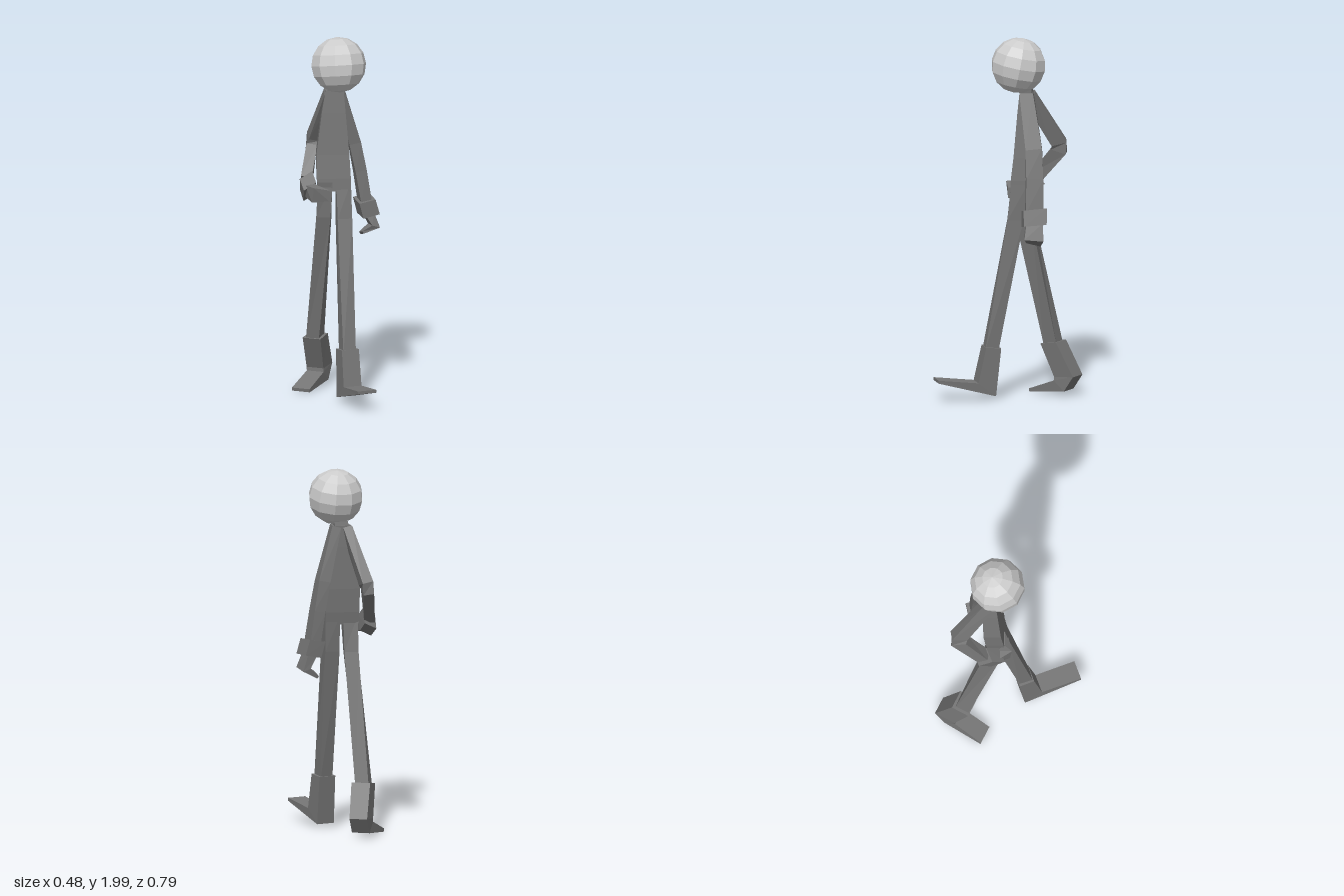
import * as THREE from 'three';

const headMaterial = new THREE.MeshStandardMaterial({ color: 0xcccccc, flatShading: true });
const bodyMaterial = new THREE.MeshStandardMaterial({ color: 0x757575, flatShading: true });

// Four corners of a cross-section; at zero angles it lies flat, facing down
function ring([x, y, z, w, d, yaw = 0, pitch = 0, roll = 0]) {
  const e = new THREE.Euler(-pitch, yaw, roll, 'YXZ');
  return [[1, 1], [-1, 1], [-1, -1], [1, -1]].map(([a, b]) =>
    new THREE.Vector3((a * w) / 2, 0, (b * d) / 2).applyEuler(e).add(new THREE.Vector3(x, y, z)));
}

// Closed skin over a row of rectangular sections [x, y, z, width, depth, yaw, pitch, roll]
function limb(name, sections) {
  const rings = sections.map(ring);
  const points = [];
  const quad = (a, b, c, d) => points.push(a, b, c, a, c, d);
  for (let s = 0; s < rings.length - 1; s++) {
    for (let i = 0; i < 4; i++) {
      const j = (i + 1) % 4;
      quad(rings[s][i], rings[s][j], rings[s + 1][j], rings[s + 1][i]);
    }
  }
  quad(...[...rings[0]].reverse());
  quad(...rings[rings.length - 1]);
  const geometry = new THREE.BufferGeometry().setFromPoints(points);
  geometry.computeVertexNormals();
  const mesh = new THREE.Mesh(geometry, bodyMaterial);
  mesh.name = name;
  return mesh;
}

export function createModel() {
  const model = new THREE.Group();
  model.name = 'walkingFigure';

  // Faceted ball head, tipped slightly back
  const head = new THREE.Mesh(new THREE.SphereGeometry(0.152, 10, 8), headMaterial);
  head.name = 'head';
  head.position.set(0.012, 1.85, -0.056);
  head.rotation.set(-0.2, 0.15, 0.05);
  model.add(head);

  model.add(
    limb('neck', [
      [-0.005, 1.74, -0.095, 0.07, 0.06],
      [-0.01, 1.68, -0.1, 0.08, 0.07],
    ]),
    limb('torso', [
      [-0.01, 1.7, -0.1, 0.1, 0.07],
      [-0.015, 1.58, -0.095, 0.13, 0.083],
      [-0.02, 1.35, -0.083, 0.18, 0.095],
      [-0.015, 1.22, -0.07, 0.185, 0.098],
      [-0.012, 1.15, -0.062, 0.18, 0.09],
    ]),

    // Straight arm with cuff and curled hand
    limb('leftArm', [
      [0.02, 1.695, -0.102, 0.05, 0.075, 0, 0, 0.25],
      [0.1, 1.4, -0.15, 0.065, 0.09, 0.1, -0.1, 0.2],
      [0.13, 1.24, -0.157, 0.062, 0.093, 0.15, 0, 0.2],
      [0.158, 1.06, -0.158, 0.06, 0.095, 0.2, 0, 0.2],
    ]),
    limb('leftCuff', [
      [0.155, 1.078, -0.157, 0.092, 0.13, 0.25, -0.08, 0.2],
      [0.178, 0.992, -0.16, 0.095, 0.125, 0.25, -0.05, 0.2],
    ]),
    limb('leftHand', [
      [0.175, 1.0, -0.16, 0.05, 0.09, 0.2, 0, 0.35],
      [0.208, 0.925, -0.16, 0.045, 0.105, 0.2, 0.1, -0.3],
      [0.14, 0.886, -0.153, 0.016, 0.08, 0.2, 0.25, -0.9],
    ]),

    // Bent arm, elbow behind and hand at the hip
    limb('rightArm', [
      [-0.04, 1.685, -0.103, 0.05, 0.075, 0, -0.3, -0.25],
      [-0.12, 1.4, -0.265, 0.06, 0.085, 0.1, -0.25, -0.2],
      [-0.128, 1.355, -0.265, 0.06, 0.085, 0, 0.3, -0.15],
      [-0.16, 1.19, -0.13, 0.06, 0.075, -0.1, 0.75, -0.1],
    ]),
    limb('rightCuff', [
      [-0.163, 1.187, -0.135, 0.085, 0.105, -0.05, 0.8, 0.65],
      [-0.145, 1.137, -0.067, 0.085, 0.105, 0, 0.8, 0.65],
    ]),
    limb('rightHand', [
      [-0.15, 1.15, -0.07, 0.05, 0.075, 0.1, 1.1, 0.4],
      [-0.115, 1.138, 0, 0.05, 0.085, 0.7, 1.4, 0.2],
      [-0.04, 1.13, -0.005, 0.02, 0.06, 1.5, 1.57],
    ]),

    // Legs in mid stride
    limb('leftLeg', [
      [0.038, 1.2, -0.068, 0.08, 0.09],
      [0.04, 1.0, -0.045, 0.08, 0.09, 0.1],
      [0.055, 0.27, 0.093, 0.072, 0.075, 0.3],
    ]),
    limb('rightLeg', [
      [-0.062, 1.2, -0.06, 0.08, 0.09],
      [-0.068, 1.0, -0.08, 0.078, 0.09, -0.1],
      [-0.112, 0.27, -0.238, 0.075, 0.08, -0.4],
    ]),

    // Boots: the front one lands on its heel, the rear one pushes off
    limb('leftBoot', [
      [0.055, 0.293, 0.087, 0.1, 0.085, 0.36, 0.08],
      [0.063, 0.063, 0.122, 0.105, 0.125, 0.36, 0.66],
      [0.153, 0.118, 0.38, 0.108, 0.016, 0.36, 1.57],
    ]),
    limb('rightBoot', [
      [-0.11, 0.295, -0.235, 0.106, 0.1, -0.45, -0.15],
      [-0.084, 0.112, -0.32, 0.1, 0.12, -0.45, -0.08],
      [-0.095, 0.06, -0.293, 0.1, 0.085, -0.45, 0.7],
      [-0.192, 0.016, -0.122, 0.105, 0.018, -0.45, 1.4],
    ]),
  );
  return model;
}
